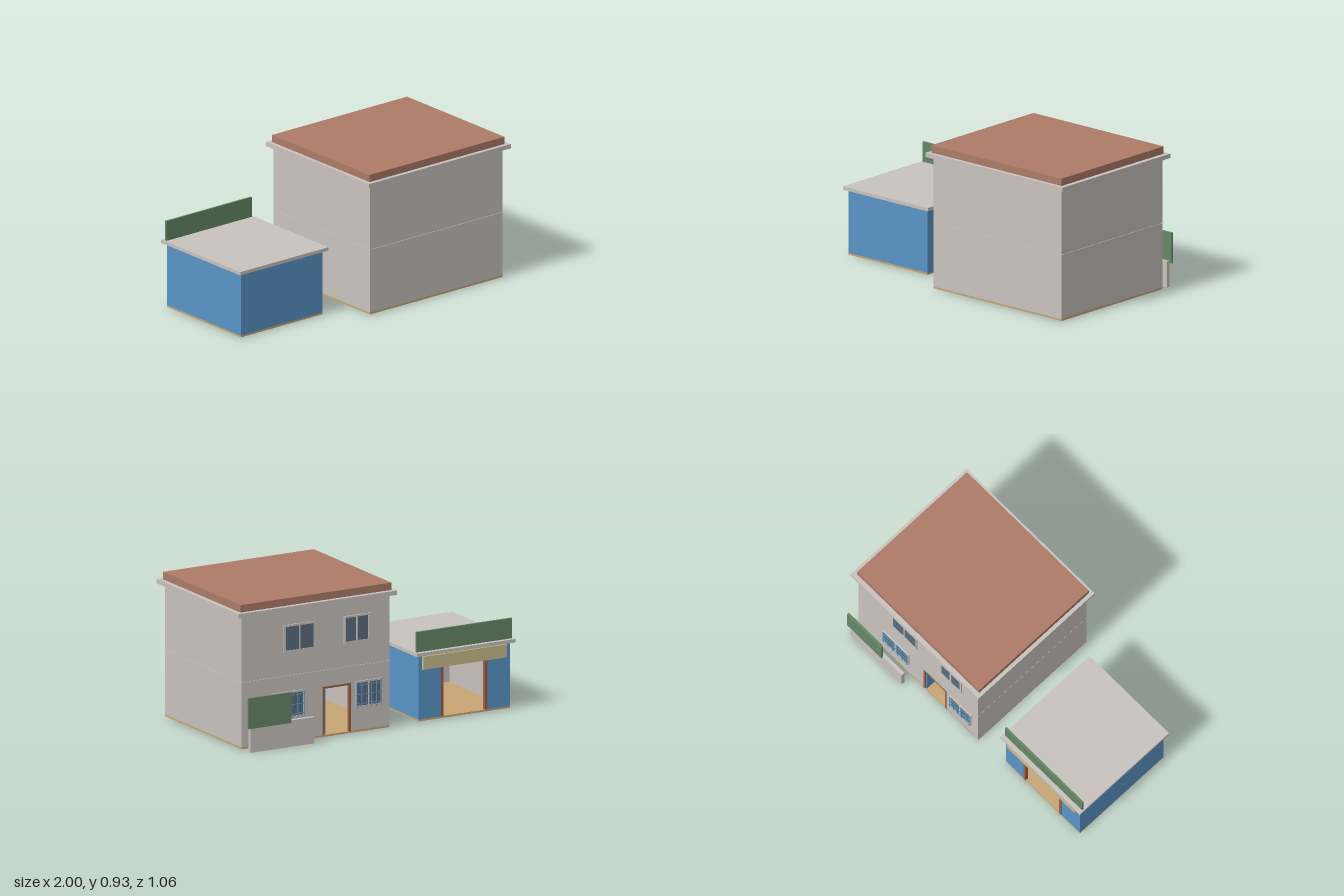
import * as THREE from 'three';

const mat = (name, color) => {
  const m = new THREE.MeshStandardMaterial({ color });
  m.name = name;
  return m;
};

export function createModel() {
  const plaster = mat('plaster', 0xc9c3be);
  const blue = mat('bluePaint', 0x5894c6);
  const green = mat('greenBoard', 0x668766);
  const tile = mat('roofTile', 0xad7b68);
  const tan = mat('floorTan', 0xc8a676);
  const cream = mat('creamBand', 0xc8bd8a);
  const glass = mat('glass', 0x5a6c7c);
  const wood = mat('woodFrame', 0x9a5f48);

  const root = new THREE.Group();
  root.name = 'houseAndShop';

  const group = (name) => {
    const g = new THREE.Group();
    g.name = name;
    root.add(g);
    return g;
  };

  // Box given by its lower and upper bounds on each axis
  const box = (parent, name, m, x0, x1, y0, y1, z0, z1) => {
    const mesh = new THREE.Mesh(new THREE.BoxGeometry(x1 - x0, y1 - y0, z1 - z0), m);
    mesh.position.set((x0 + x1) / 2, (y0 + y1) / 2, (z0 + z1) / 2);
    mesh.name = name;
    parent.add(mesh);
    return mesh;
  };

  // Upright wall in the xy plane with a doorway cut from its lower edge
  const doorWall = (parent, name, m, x0, x1, y0, y1, z0, depth, d0, d1, dTop) => {
    const s = new THREE.Shape();
    [[x0, y0], [d0, y0], [d0, dTop], [d1, dTop], [d1, y0], [x1, y0], [x1, y1], [x0, y1]]
      .forEach(([x, y], i) => (i ? s.lineTo(x, y) : s.moveTo(x, y)));
    const mesh = new THREE.Mesh(new THREE.ExtrudeGeometry(s, { depth, bevelEnabled: false }), m);
    mesh.position.z = z0;
    mesh.name = name;
    parent.add(mesh);
  };

  // Jambs and head around a doorway
  const doorFrame = (parent, x0, x1, y0, y1, z0, z1, w) => {
    box(parent, 'jambRight', wood, x0, x0 + w, y0, y1, z0, z1);
    box(parent, 'jambLeft', wood, x1 - w, x1, y0, y1, z0, z1);
    box(parent, 'doorHead', wood, x0 + w, x1 - w, y1 - w, y1, z0, z1);
  };

  // ---------- House ----------
  const house = group('house');
  const T = 0.02, HX0 = -0.1, HX1 = 0.96, HZ0 = -0.435, HZ1 = 0.495;
  box(house, 'houseFloor', tan, HX0, HX1, 0.006, 0.018, HZ0, HZ1);

  // Ground storey, hollow behind the open door
  doorWall(house, 'groundDoorWall', plaster, HX0, HX1, 0.018, 0.43, HZ0, T, 0.18, 0.38, 0.325);
  box(house, 'groundFarWall', plaster, HX0, HX1, 0.018, 0.43, HZ1 - T, HZ1);
  box(house, 'groundRightWall', plaster, HX0, HX0 + T, 0.018, 0.43, HZ0 + T, HZ1 - T);
  box(house, 'groundLeftWall', plaster, HX1 - T, HX1, 0.018, 0.43, HZ0 + T, HZ1 - T);
  box(house, 'storeyJoint', plaster, HX0 + 0.004, HX1 - 0.004, 0.43, 0.434, HZ0 + 0.004, HZ1 - 0.004);
  box(house, 'upperStorey', plaster, HX0, HX1, 0.434, 0.85, HZ0, HZ1);

  // Eaves and roof
  box(house, 'eavesSlab', plaster, -0.135, 1, 0.85, 0.878, -0.466, 0.529);
  box(house, 'roof', tile, -0.11, 0.97, 0.878, 0.925, -0.437, 0.503);

  // Door standing open
  doorFrame(house, 0.18, 0.38, 0.018, 0.325, HZ0 - 0.004, HZ0 + T, 0.012);
  box(house, 'doorLeaf', blue, 0.358, 0.368, 0.02, 0.312, HZ0 + 0.005, HZ0 + 0.155);

  // Two-pane windows, with a grille on the ground storey
  const addWindow = (x0, x1, y0, y1, grille) => {
    const g = group(grille ? 'groundWindow' : 'upperWindow');
    const w = 0.012, z = HZ0, zf = HZ0 - 0.008, xm = (x0 + x1) / 2;
    box(g, 'frameBottom', plaster, x0, x1, y0, y0 + w, zf, z);
    box(g, 'frameTop', plaster, x0, x1, y1 - w, y1, zf, z);
    box(g, 'frameRight', plaster, x0, x0 + w, y0 + w, y1 - w, zf, z);
    box(g, 'frameLeft', plaster, x1 - w, x1, y0 + w, y1 - w, zf, z);
    box(g, 'mullion', plaster, xm - 0.005, xm + 0.005, y0 + w, y1 - w, zf - 0.002, z);
    box(g, 'panes', glass, x0 + w, x1 - w, y0 + w, y1 - w, z - 0.005, z);
    if (!grille) return;
    const b = 0.002, zg = z - 0.012;
    for (let i = 0; i < 6; i++) {
      const x = x0 + 0.01 + ((x1 - x0 - 0.02) * i) / 5;
      box(g, 'grilleUpright', blue, x - b, x + b, y0, y1, zg - b, zg + b);
    }
    for (let i = 0; i < 3; i++) {
      const y = y0 + 0.025 + ((y1 - y0 - 0.05) * i) / 2;
      box(g, 'grilleRail', blue, x0, x1, y - b, y + b, zg - b, zg + b);
    }
  };
  addWindow(0.437, 0.66, 0.58, 0.755, false);
  addWindow(0.045, 0.23, 0.58, 0.755, false);
  addWindow(0.51, 0.74, 0.16, 0.33, true);
  addWindow(-0.042, 0.15, 0.16, 0.33, true);

  // ---------- Yard wall with board ----------
  const yard = group('yardWall');
  box(yard, 'lowWall', plaster, 0.49, 0.945, 0, 0.168, -0.52, -0.496);
  box(yard, 'yardBoard', green, 0.66, 0.965, 0.155, 0.35, -0.53, -0.514);

  // ---------- Shop ----------
  const shop = group('shop');
  const SX0 = -0.975, SX1 = -0.32, SZ0 = -0.41, SZ1 = 0.305, L = 0.004;
  box(shop, 'shopFloor', tan, SX0, SX1, 0.006, 0.018, SZ0, SZ1);
  doorWall(shop, 'shopDoorWall', blue, SX0, SX1, 0.018, 0.424, SZ0, T, -0.81, -0.48, 0.34);
  box(shop, 'shopFarWall', blue, SX0, SX1, 0.018, 0.424, SZ1 - T, SZ1);
  box(shop, 'shopRightWall', blue, SX0, SX0 + T, 0.018, 0.424, SZ0 + T, SZ1 - T);
  box(shop, 'shopLeftWall', blue, SX1 - T, SX1, 0.018, 0.424, SZ0 + T, SZ1 - T);

  // Plaster lining inside
  box(shop, 'liningFar', plaster, SX0 + T, SX1 - T, 0.018, 0.424, SZ1 - T - L, SZ1 - T);
  box(shop, 'liningRight', plaster, SX0 + T, SX0 + T + L, 0.018, 0.424, SZ0 + T, SZ1 - T - L);
  box(shop, 'liningLeft', plaster, SX1 - T - L, SX1 - T, 0.018, 0.424, SZ0 + T, SZ1 - T - L);

  // Shopfront jambs, band, flat roof and board
  for (const x of [-0.81, -0.496])
    box(shop, 'shopJamb', wood, x, x + 0.016, 0.018, 0.34, SZ0 - 0.004, SZ0 + T);
  box(shop, 'shopBand', cream, -0.945, -0.345, 0.335, 0.418, -0.426, SZ0);
  box(shop, 'shopRoof', plaster, -1, -0.295, 0.424, 0.446, -0.435, 0.33);
  box(shop, 'shopBoard', green, -0.99, -0.308, 0.446, 0.575, -0.407, -0.394);

  return root;
}
